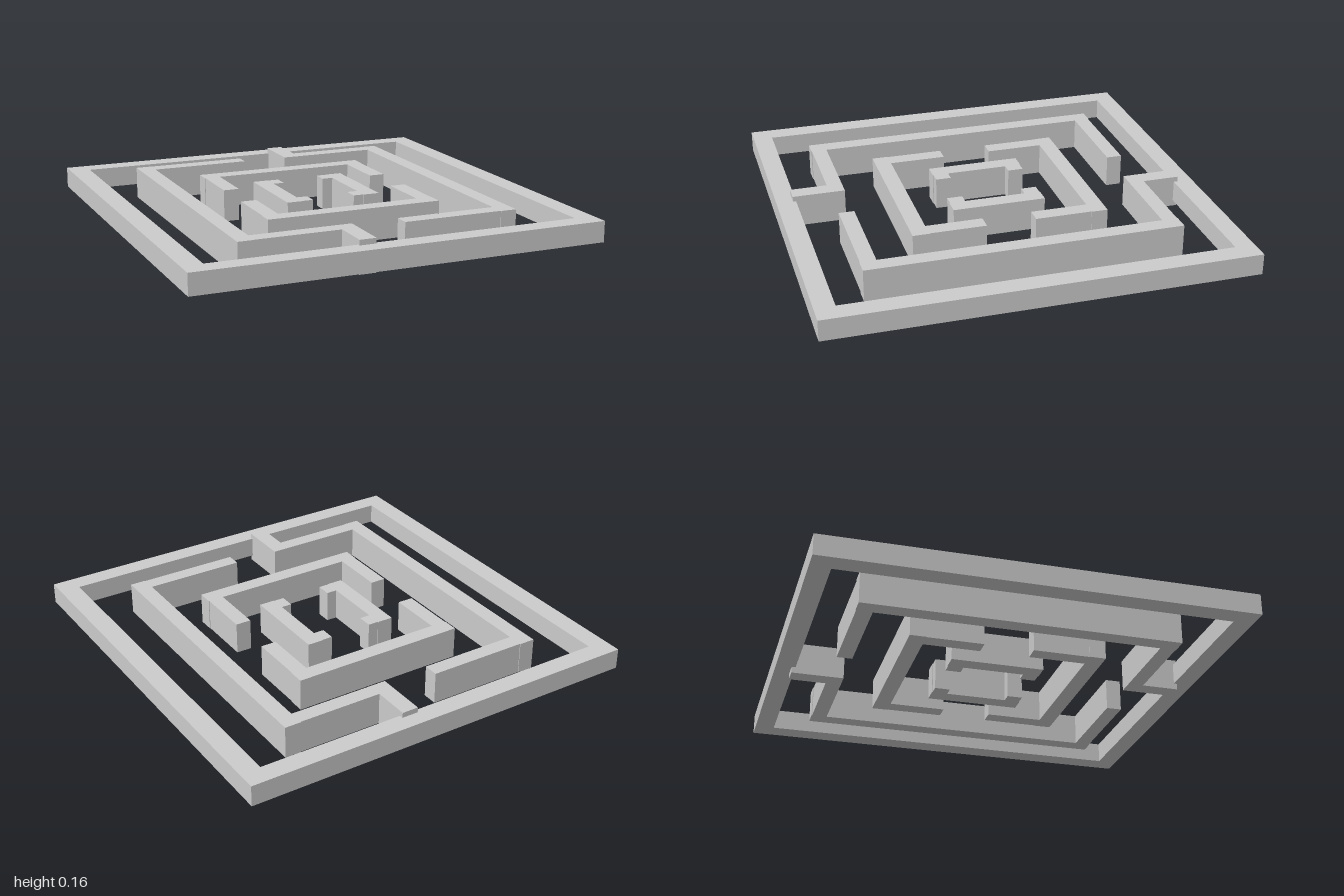
import * as THREE from 'three';

const material = new THREE.MeshStandardMaterial({ color: 0xcccccc, flatShading: true });

// Box wall spanning the given x, z and y ranges
function wall(name, x0, x1, z0, z1, y0 = 0, y1 = 0.155) {
  const mesh = new THREE.Mesh(new THREE.BoxGeometry(x1 - x0, y1 - y0, z1 - z0), material);
  mesh.name = name;
  mesh.position.set((x0 + x1) / 2, (y0 + y1) / 2, (z0 + z1) / 2);
  return mesh;
}

export function createModel() {
  const model = new THREE.Group();
  model.name = 'squareMazePanel';

  // Thinner outer frame
  const frame = new THREE.Group();
  frame.name = 'outerFrame';
  for (const s of [-1, 1]) {
    const z = s * 0.953, x = s * 0.936;
    frame.add(wall('frameRail', -0.985, 0.985, z - 0.047, z + 0.047, 0.03, 0.13));
    frame.add(wall('frameSide', x - 0.049, x + 0.049, -0.906, 0.906, 0.03, 0.13));
  }
  model.add(frame);

  // Inner lattice: one half, repeated by a half turn
  const lattice = new THREE.Group();
  lattice.name = 'innerLattice';
  lattice.position.set(-0.003, 0, -0.002);
  for (const turn of [0, Math.PI]) {
    const half = new THREE.Group();
    half.name = 'latticeHalf';
    half.rotation.y = turn;

    // Large bracket, joined to the frame by a connector
    half.add(wall('largeBracketSide', 0.6, 0.678, -0.748, 0.748));
    for (const s of [-1, 1]) {
      half.add(wall('largeBracketArm', 0.113, 0.6, s * 0.708 - 0.037, s * 0.708 + 0.037));
    }
    half.add(wall('frameConnector', 0.113, 0.193, -0.923, -0.745));

    // Middle bracket
    half.add(wall('middleBracketBar', -0.43, 0.43, -0.468, -0.39));
    for (const s of [-1, 1]) {
      half.add(wall('middleBracketArm', s * 0.389 - 0.038, s * 0.389 + 0.038, -0.39, -0.118));
    }

    // Small central bracket
    half.add(wall('smallBracketSide', 0.157, 0.235, -0.224, 0.224));
    for (const s of [-1, 1]) {
      half.add(wall('smallBracketArm', 0.105, 0.157, s * 0.184 - 0.037, s * 0.184 + 0.037));
    }
    lattice.add(half);
  }
  model.add(lattice);
  return model;
}
